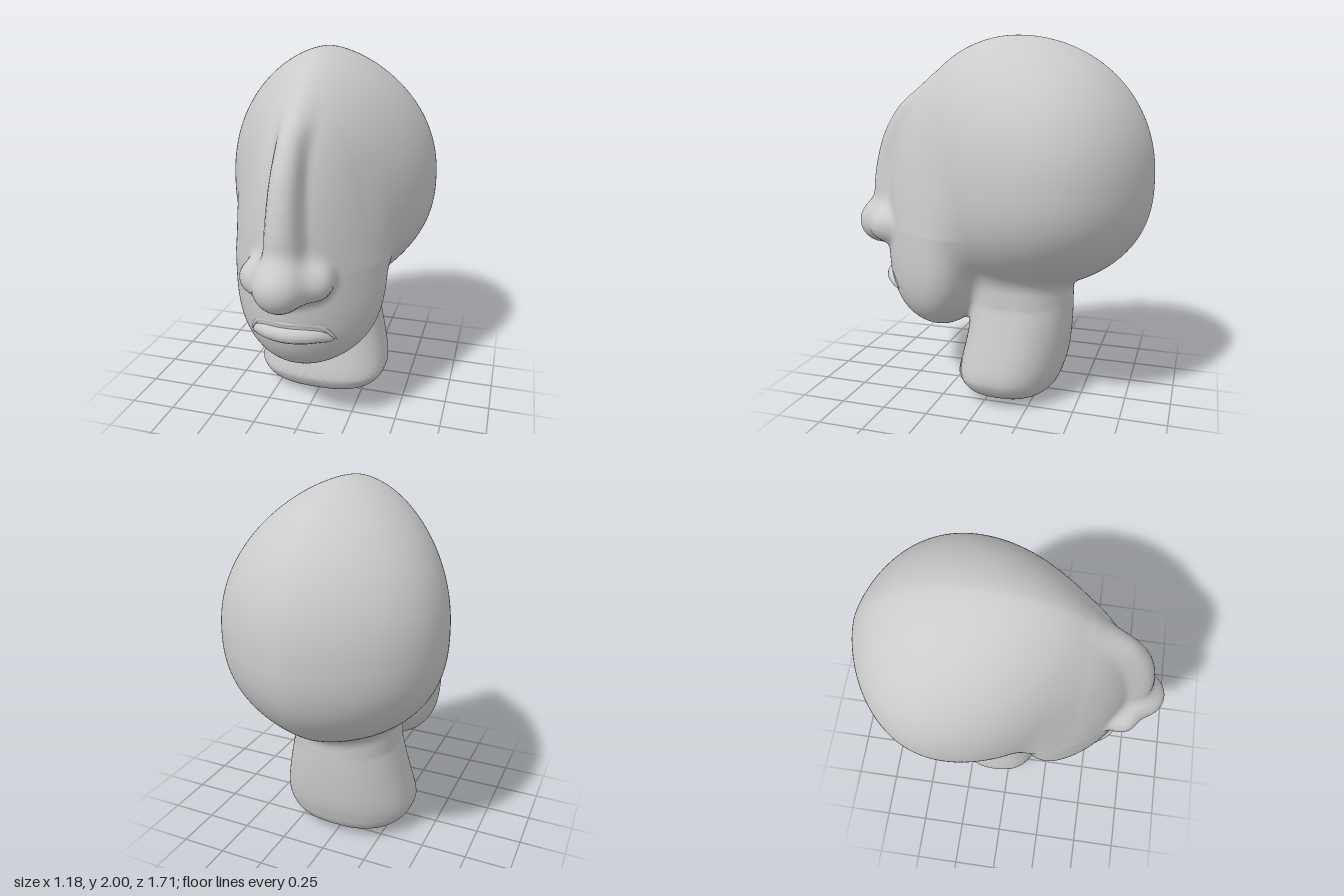
import * as THREE from 'three';
import { mergeVertices } from 'three/addons/utils/BufferGeometryUtils.js';

const material = new THREE.MeshStandardMaterial({ color: 0xcccccc });
const { clamp } = THREE.MathUtils;
const pow = Math.pow;

// Smooth union of two distances
function blend(a, b, k) {
  const h = Math.max(k - Math.abs(a - b), 0) / k;
  return Math.min(a, b) - h * h * k / 4;
}

// Egg-shaped cranium with a soft ridge along the crown, wider at the back
function cranium(x, y, z) {
  const dy = y - 1.25, dz = z + 0.1;
  const a = clamp(0.525 - 0.3 * z, 0.42, 0.8);
  const up = dy > 0 ? pow(dy / 0.75, 2.15) : pow(-dy / 0.64, 2.4);
  const sum = pow(x / a, 1.6) + up + pow(dz / (dz > 0 ? 0.665 : 0.76), 2);
  return (Math.sqrt(sum) - 1) * 0.62;
}

// Face and jaw, narrowing to the front and towards the forehead
function face(x, y, z) {
  const dy = y - 0.95;
  const cz = 0.25 + 0.07 * clamp(-dy / 0.6, 0, 1);
  const dz = z - cz;
  const a = clamp(0.432 - 0.3 * (z - 0.2), 0.2, 0.48) * (1 - 0.15 * clamp(dy / 0.5, 0, 1));
  const sum = pow(x / a, 2) + (dy > 0 ? pow(dy / 0.7, 2.2) : pow(-dy / 0.588, 3.5))
    + pow(dz / (dz > 0 ? 0.655 - cz : 0.27), 2);
  return (pow(sum, 0.4) - 1) * 0.45;
}

// Flared, squarish neck, narrower at the back
function neck(x, y, z) {
  const u = clamp((0.55 - y) / 0.4, 0, 1);
  const dz = z + 0.155 - 0.055 * u * u;
  const back = Math.max(0, -dz) / 0.3;
  const w = (0.3 + 0.095 * u) * Math.max(0.5, 1 - 0.22 * back * back);
  const dy = y - 0.5;
  const sum = pow(x / w, 2.7) + pow(Math.abs(dz) / (0.28 + 0.02 * u * u), 2.7)
    + pow(Math.abs(dy) / (dy > 0 ? 0.45 : 0.497), 6.5);
  return (pow(sum, 1 / 2.7) - 1) * 0.31;
}

function ellipsoid(x, y, z, c, r) {
  const l = Math.hypot((x - c[0]) / r[0], (y - c[1]) / r[1], (z - c[2]) / r[2]);
  return (l - 1) * Math.min(...r);
}

// Tapered capsule in the middle plane, each end holding height, depth and radius
function capsule(x, y, z, p, q) {
  const ey = q.x - p.x, ez = q.y - p.y;
  const t = clamp(((y - p.x) * ey + (z - p.y) * ez) / (ey * ey + ez * ez), 0, 1);
  return Math.hypot(x, y - p.x - t * ey, z - p.y - t * ez) - (p.z + t * (q.z - p.z));
}

const bridge = new THREE.CatmullRomCurve3([
  [1.72, 0.34, 0.055], [1.6, 0.52, 0.062], [1.5, 0.588, 0.068], [1.4, 0.63, 0.074],
  [1.2, 0.667, 0.085], [1.04, 0.66, 0.1],
].map(p => new THREE.Vector3(...p))).getPoints(20);

// Nose bridge, round tip and wings
function nose(x, y, z) {
  let d = 9;
  for (let i = 0; i < 20; i++) d = Math.min(d, capsule(x, y, z, bridge[i], bridge[i + 1]));
  d = blend(d, ellipsoid(x, y, z, [0, 0.945, 0.715], [0.132, 0.132, 0.138]), 0.07);
  return blend(d, ellipsoid(x, y, z, [0.147, 0.945, 0.62], [0.09, 0.092, 0.095]), 0.08);
}

function body(px, y, z) {
  const x = Math.abs(px);
  let d = blend(cranium(x, y, z), face(x, y, z), 0.11);
  d = blend(d, neck(x, y, z), 0.07);
  return z > 0.2 && y > 0.6 ? blend(d, nose(x, y, z), 0.06) : d;
}

function smooth(geometry) {
  geometry.deleteAttribute('uv');
  geometry.deleteAttribute('normal');
  const merged = mergeVertices(geometry, 1e-5);
  merged.computeVertexNormals();
  return merged;
}

// Shrink-wrap a sphere onto the blended body, working inwards along each ray
function wrappedSphere(field, centre, columns, rows) {
  const geometry = new THREE.SphereGeometry(1, columns, rows);
  const pos = geometry.attributes.position;
  const dir = new THREE.Vector3();
  for (let i = 0; i < pos.count; i++) {
    dir.fromBufferAttribute(pos, i).normalize();
    const at = t => field(centre.x + dir.x * t, centre.y + dir.y * t, centre.z + dir.z * t);
    let outer = 1.4, inner = 1.4, d = at(inner);
    while (d > 0 && inner > 0.05) {
      outer = inner;
      inner -= Math.max(0.006, d * 0.5);
      d = at(inner);
    }
    for (let k = 0; k < 12; k++) {
      const mid = (inner + outer) / 2;
      if (at(mid) > 0) outer = mid; else inner = mid;
    }
    dir.multiplyScalar(inner).add(centre);
    pos.setXYZ(i, dir.x, dir.y, dir.z);
  }
  return smooth(geometry);
}

// Lip: a mirrored tube that tapers to both corners of the mouth
function lip(name, half, radius) {
  const points = [
    ...half.map(([x, y, z]) => new THREE.Vector3(-x, y, z)),
    ...half.slice(0, -1).reverse().map(([x, y, z]) => new THREE.Vector3(x, y, z)),
  ];
  const curve = new THREE.CatmullRomCurve3(points);
  const steps = 64, sides = 16;
  const geometry = new THREE.TubeGeometry(curve, steps, radius, sides);
  const pos = geometry.attributes.position;
  const v = new THREE.Vector3();
  for (let i = 0; i < pos.count; i++) {
    const t = Math.floor(i / (sides + 1)) / steps;
    const c = curve.getPointAt(t);
    const taper = Math.sqrt(Math.max(0.0001, Math.sin(Math.PI * t)));
    v.fromBufferAttribute(pos, i).sub(c).multiplyScalar(taper).add(c);
    pos.setXYZ(i, v.x, v.y, v.z);
  }
  const mesh = new THREE.Mesh(smooth(geometry), material);
  mesh.name = name;
  return mesh;
}

export function createModel() {
  const model = new THREE.Group();
  model.name = 'headSculpture';

  const head = new THREE.Mesh(
    wrappedSphere(body, new THREE.Vector3(0, 0.95, -0.05), 300, 220), material);
  head.name = 'headAndNeck';
  model.add(head);

  const mouth = new THREE.Group();
  mouth.name = 'mouth';
  mouth.add(
    lip('upperLip', [[0.23, 0.6, 0.52], [0.17, 0.68, 0.567], [0.09, 0.707, 0.61], [0, 0.712, 0.63]], 0.02),
    lip('lowerLip', [[0.215, 0.6, 0.525], [0.16, 0.632, 0.57], [0.09, 0.645, 0.608], [0, 0.648, 0.624]], 0.047),
  );
  model.add(mouth);
  return model;
}
